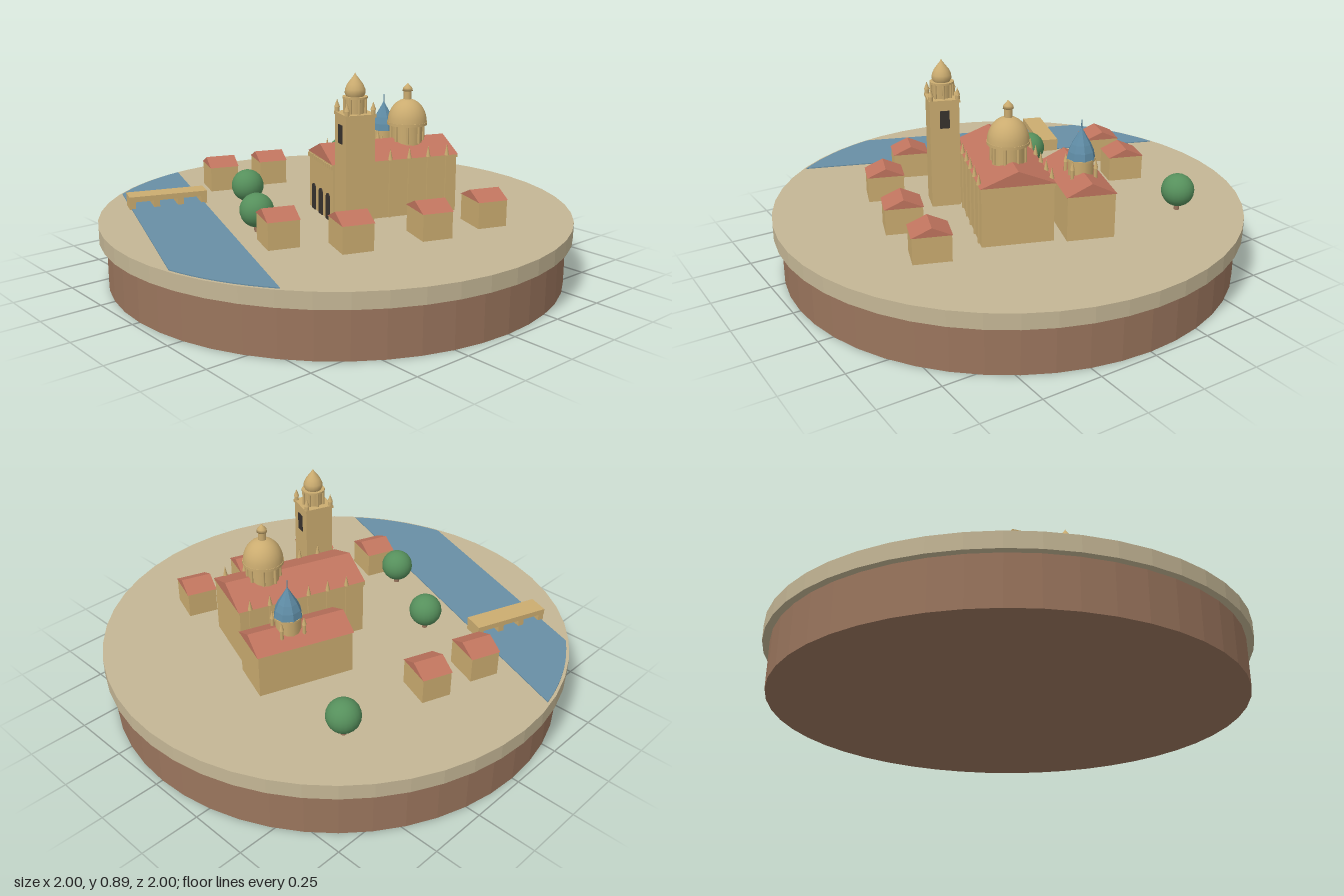
import * as THREE from 'three';

const mat = (name, color) => Object.assign(new THREE.MeshStandardMaterial({ color }), { name });

export function createModel() {
  const earth = mat('earth brown', 0x9a755d);
  const ground = mat('ground sand', 0xc4b695);
  const water = mat('river blue', 0x688fa5);
  const stone = mat('golden stone', 0xcbac70);
  const tile = mat('roof tile', 0xc0745e);
  const slate = mat('spire blue', 0x5f8ca5);
  const leaf = mat('leaf green', 0x56905c);
  const dark = mat('dark opening', 0x38322e);

  const model = new THREE.Group();
  const town = new THREE.Group(); // everything in the town follows the river's angle
  town.name = 'town';
  town.rotation.y = -Math.PI / 9;
  model.add(town);
  const TOP = 0.265;

  const add = (parent, name, geo, material, x = 0, y = 0, z = 0) => {
    const mesh = new THREE.Mesh(geo, material);
    mesh.name = name;
    mesh.position.set(x, y, z);
    parent.add(mesh);
    return mesh;
  };
  const group = (name, x, y, z) => {
    const g = new THREE.Group();
    g.name = name;
    g.position.set(x, y, z);
    town.add(g);
    return g;
  };
  const faceted = (geo) => {
    const flat = geo.toNonIndexed();
    flat.computeVertexNormals();
    return flat;
  };
  // box standing on y
  const box = (parent, name, w, h, d, m, x, y, z) =>
    add(parent, name, new THREE.BoxGeometry(w, h, d), m, x, y + h / 2, z);
  // cylinder or cone standing on y
  const drum = (parent, name, r0, r1, h, sides, m, x, y, z) =>
    add(parent, name, new THREE.CylinderGeometry(r1, r0, h, sides), m, x, y + h / 2, z);
  const lathe = (parent, name, pts, sides, m, y, flat) => {
    const curve = pts.map(([r, h]) => new THREE.Vector2(r, h));
    const geo = new THREE.LatheGeometry(curve, sides);
    return add(parent, name, flat ? faceted(geo) : geo, m, 0, y, 0);
  };
  // solid gable roof with its ridge along z
  const gable = (parent, name, w, h, d, y) => {
    const s = new THREE.Shape([[-w / 2, 0], [w / 2, 0], [0, h]].map(p => new THREE.Vector2(...p)));
    const geo = new THREE.ExtrudeGeometry(s, { depth: d, bevelEnabled: false });
    return add(parent, name, geo.translate(0, 0, -d / 2), tile, 0, y, 0);
  };

  // Round base
  add(model, 'base', faceted(new THREE.CylinderGeometry(0.97, 0.97, 0.2, 48)), earth, 0, 0.1, 0);
  add(model, 'groundSlab', faceted(new THREE.CylinderGeometry(1, 1, 0.065, 48)), ground, 0, 0.2325, 0);

  // River: a band cut from the disc
  const R = 0.987, v0 = 0.515, v1 = 0.83;
  const a0 = Math.asin(v0 / R), a1 = Math.asin(v1 / R);
  const band = new THREE.Shape();
  for (let i = 0; i <= 8; i++) {
    const a = a0 + (a1 - a0) * i / 8;
    band[i ? 'lineTo' : 'moveTo'](R * Math.cos(a), -R * Math.sin(a));
  }
  for (let i = 8; i >= 0; i--) {
    const a = a0 + (a1 - a0) * i / 8;
    band.lineTo(-R * Math.cos(a), -R * Math.sin(a));
  }
  const river = new THREE.ExtrudeGeometry(band, { depth: 0.004, bevelEnabled: false });
  add(town, 'river', river.rotateX(-Math.PI / 2), water, 0, TOP, 0);

  // Bridge on four piers
  const bridge = group('bridge', -0.314, TOP, 0.67);
  box(bridge, 'deck', 0.09, 0.023, 0.337, stone, 0, 0.033, 0);
  for (let i = 0; i < 4; i++) box(bridge, 'pier', 0.086, 0.034, 0.026, stone, 0, 0, -0.155 + i * 0.1033);

  // Houses, given in model x and z, turned with the town
  const place = (x, z) => new THREE.Vector3(x, TOP, z).applyAxisAngle(new THREE.Vector3(0, 1, 0), Math.PI / 9);
  for (const [x, z] of [[-0.57, -0.065], [-0.62, 0.175], [0.555, -0.32], [0.525, -0.035], [0.44, 0.3], [0.225, 0.483]]) {
    const p = place(x, z);
    const house = group('house', p.x, p.y, p.z);
    box(house, 'houseWalls', 0.152, 0.11, 0.126, stone, 0, 0, 0);
    gable(house, 'houseRoof', 0.159, 0.036, 0.131, 0.109);
  }

  // Round trees
  for (const [x, z] of [[-0.525, -0.495], [-0.285, 0.26], [0.05, 0.455]]) {
    const p = place(x, z);
    const tree = group('tree', p.x, p.y, p.z);
    drum(tree, 'trunk', 0.012, 0.012, 0.05, 8, earth, 0, 0, 0);
    add(tree, 'crown', new THREE.SphereGeometry(0.069, 20, 14), leaf, 0, 0.088, 0);
  }

  // Main church: nave, roof, cornice and pinnacles
  const nave = group('nave', 0.064, TOP, -0.188);
  box(nave, 'naveWalls', 0.288, 0.246, 0.555, stone, 0, 0, 0);
  gable(nave, 'naveRoof', 0.298, 0.06, 0.566, 0.245);
  box(nave, 'cornice', 0.294, 0.012, 0.562, stone, 0, 0.233, 0);
  for (let i = 0; i < 13; i++) box(nave, 'dentil', 0.01, 0.018, 0.012, stone, -0.138 + i * 0.023, 0.222, 0.281);
  for (const s of [-1, 1])
    for (let i = 0; i < 6; i++) {
      const z = -0.232 + i * 0.086;
      box(nave, 'buttress', 0.012, 0.25, 0.012, stone, s * 0.144, 0, z);
      drum(nave, 'navePinnacle', 0.0105, 0, 0.048, 8, stone, s * 0.144, 0.245, z);
    }
  // Arched doors
  const arch = new THREE.Shape();
  arch.moveTo(-0.022, 0);
  arch.lineTo(0.022, 0);
  arch.lineTo(0.022, 0.09);
  arch.absarc(0, 0.09, 0.022, 0, Math.PI, false);
  const door = new THREE.ExtrudeGeometry(arch, { depth: 0.006, bevelEnabled: false, curveSegments: 8 });
  for (const x of [-0.087, 0, 0.087]) add(nave, 'archedDoor', door, dark, x, 0, 0.276);

  // Great dome with lantern
  const dome = group('greatDome', 0.066, 0, -0.3);
  drum(dome, 'domeDrum', 0.066, 0.066, 0.13, 16, stone, 0, 0.505, 0);
  drum(dome, 'domeRing', 0.086, 0.086, 0.012, 20, stone, 0, 0.625, 0);
  for (let i = 0; i < 8; i++) {
    const a = (i + 0.5) * Math.PI / 4;
    drum(dome, 'drumColumn', 0.007, 0.007, 0.08, 6, stone, 0.068 * Math.cos(a), 0.55, 0.068 * Math.sin(a));
  }
  const shell = [];
  for (let i = 0; i <= 8; i++) {
    const a = i * Math.PI / 16;
    shell.push([0.084 * Math.cos(a), 0.1 * Math.sin(a)]);
  }
  lathe(dome, 'domeShell', shell, 24, stone, 0.635);
  drum(dome, 'lantern', 0.017, 0.017, 0.045, 10, stone, 0, 0.728, 0);
  lathe(dome, 'lanternCap', [[0, 0], [0.022, 0], [0.019, 0.013], [0.009, 0.024], [0, 0.034]], 12, stone, 0.768);

  // Bell tower
  const tower = group('bellTower', 0.274, 0, 0.022);
  box(tower, 'shaft', 0.122, 0.465, 0.122, stone, 0, TOP, 0);
  box(tower, 'towerCornice', 0.13, 0.012, 0.13, stone, 0, 0.72, 0);
  for (const s of [-1, 1]) {
    box(tower, 'towerWindow', 0.04, 0.075, 0.006, dark, 0, 0.612, s * 0.0615);
    for (const t of [-1, 1]) {
      drum(tower, 'towerPinnacle', 0.01, 0.01, 0.02, 8, stone, s * 0.055, 0.73, t * 0.055);
      drum(tower, 'towerPinnacleTip', 0.012, 0, 0.032, 8, stone, s * 0.055, 0.75, t * 0.055);
    }
  }
  drum(tower, 'belfry', 0.043, 0.043, 0.07, 8, stone, 0, 0.728, 0);
  for (let i = 0; i < 8; i++) {
    const a = i * Math.PI / 4;
    drum(tower, 'belfryColumn', 0.006, 0.006, 0.066, 6, stone, 0.045 * Math.cos(a), 0.73, 0.045 * Math.sin(a));
  }
  drum(tower, 'belfryRing', 0.05, 0.05, 0.008, 16, stone, 0, 0.79, 0);
  lathe(tower, 'towerCap', [[0.034, 0], [0.041, 0.014], [0.04, 0.03], [0.031, 0.05], [0.016, 0.07], [0.006, 0.083], [0, 0.094]],
    16, stone, 0.797);

  // Side church with blue spire
  const chapel = group('sideChurch', -0.225, TOP, -0.282);
  box(chapel, 'sideWalls', 0.194, 0.187, 0.405, stone, 0, 0, 0);
  gable(chapel, 'sideRoof', 0.204, 0.05, 0.414, 0.186);
  const spire = group('blueSpire', -0.227, 0, -0.317);
  drum(spire, 'spireDrum', 0.052, 0.052, 0.085, 12, stone, 0, 0.46, 0);
  drum(spire, 'spireRing', 0.058, 0.058, 0.008, 16, stone, 0, 0.539, 0);
  for (const s of [-1, 1])
    for (const t of [-1, 1]) {
      drum(spire, 'spireColumn', 0.008, 0.008, 0.055, 6, stone, s * 0.048, 0.46, t * 0.048);
      drum(spire, 'spirePinnacle', 0.01, 0, 0.036, 8, stone, s * 0.048, 0.515, t * 0.048);
    }
  lathe(spire, 'spireRoof', [[0.059, 0], [0.053, 0.03], [0.04, 0.06], [0.022, 0.09], [0.008, 0.115], [0, 0.13]], 8, slate, 0.546, true);
  drum(spire, 'spireNeedle', 0.003, 0.002, 0.045, 6, slate, 0, 0.66, 0);

  return model;
}
